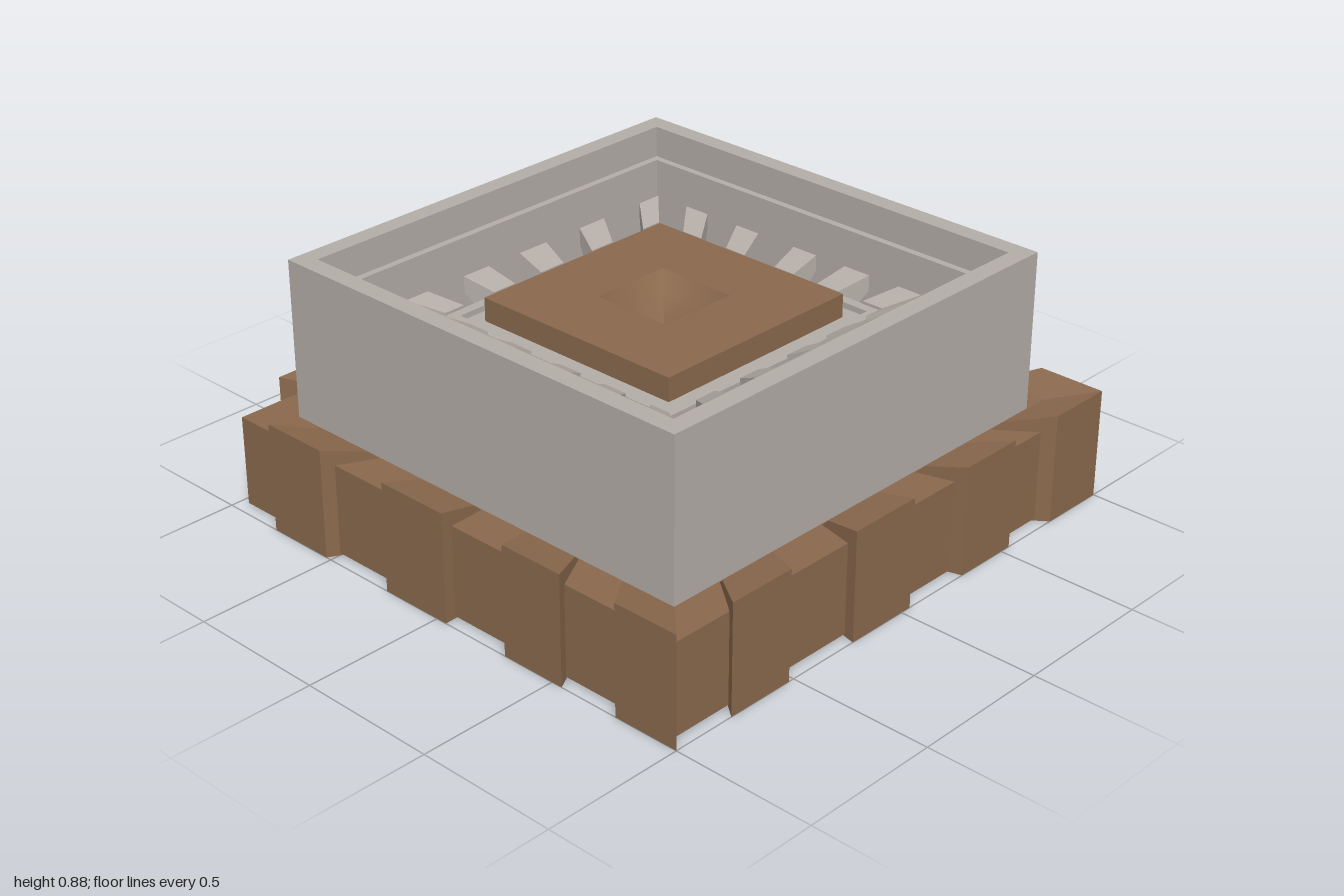
import * as THREE from 'three';

const brown = new THREE.MeshStandardMaterial({ color: 0x8a694d });
brown.name = 'brown wood';
const grey = new THREE.MeshStandardMaterial({ color: 0xb4ada7 });
grey.name = 'grey stone';

// Square solid of revolution: profile points are [half width, height]
function squareLathe(profile) {
  const pts = profile.map(([r, y]) => new THREE.Vector2(r * Math.SQRT2, y));
  const geo = new THREE.LatheGeometry(pts, 4).rotateY(Math.PI / 4).toNonIndexed();
  geo.computeVertexNormals();
  return geo;
}

// Block with a [r, y] section, whose width from u0 to u1 narrows toward the centre
function wedge(section, u0, u1) {
  const pos = [];
  const at = ([r, y], u) => [u * r, y, r];
  const tri = (a, b, c) => pos.push(...a, ...b, ...c);
  section.forEach((p, i) => {
    const q = section[(i + 1) % section.length];
    tri(at(p, u0), at(p, u1), at(q, u1));
    tri(at(p, u0), at(q, u1), at(q, u0));
    if (i > 0 && i < section.length - 1) {
      tri(at(section[0], u0), at(p, u0), at(q, u0));
      tri(at(section[0], u1), at(q, u1), at(p, u1));
    }
  });
  const geo = new THREE.BufferGeometry();
  geo.setAttribute('position', new THREE.Float32BufferAttribute(pos, 3));
  geo.computeVertexNormals();
  return geo;
}

export function createModel() {
  const model = new THREE.Group();
  const add = (name, geo, mat, parent = model) => {
    const mesh = new THREE.Mesh(geo, mat);
    mesh.name = name;
    parent.add(mesh);
  };

  // Rows of blocks on one side; sides run front, left, back, right
  const addRow = (name, side, section, spans, mat) => {
    const row = new THREE.Group();
    row.name = name + 'Row';
    row.rotation.y = side * Math.PI / 2;
    const flip = side === 1 || side === 2;
    for (const [a, b] of spans) {
      add(name, flip ? wedge(section, -b, -a) : wedge(section, a, b), mat, row);
    }
    model.add(row);
  };

  // Base ring, open underneath
  add('baseRing', squareLathe([
    [0.865, 0.008], [0.96, 0.008], [0.96, 0.325], [0.82, 0.325], [0.865, 0.3], [0.865, 0.008],
  ]), brown);

  // Raised blocks around the base
  const blockSection = [[1, 0], [1, 0.385], [0.865, 0.355], [0.835, 0.325], [0.865, 0]];
  const blockSpans = [[-0.77, -0.52], [-0.23, 0.04], [0.3, 0.54], [0.76, 1]];
  for (let side = 0; side < 4; side++) addRow('baseBlock', side, blockSection, blockSpans, brown);

  // Walls with inner ledge, sunken floor and a curb that also hangs below the floor
  add('stoneWalls', squareLathe([
    [0.4, 0.23], [0.49, 0.23], [0.49, 0.4], [0.79, 0.4], [0.79, 0.28], [0.83, 0.28],
    [0.83, 0.88], [0.765, 0.88], [0.765, 0.77], [0.74, 0.77], [0.74, 0.5], [0.49, 0.5],
    [0.49, 0.68], [0.455, 0.68], [0.455, 0.66], [0.4, 0.66],
  ]), grey);

  // Flared teeth outside the curb
  const toothSection = [[0.5, 0.57], [0.575, 0.68], [0.575, 0.735], [0.488, 0.69], [0.488, 0.57]];
  const toothSpans = [[-0.77, -0.6], [-0.37, -0.2], [0.07, 0.24], [0.45, 0.63], [0.84, 1]];
  const backSpans = [[-1, -0.84], [-0.57, -0.38], [-0.14, 0.07], [0.34, 0.54], [0.84, 1]];
  for (let side = 0; side < 4; side++) {
    addRow('curbTooth', side, toothSection, side === 2 ? backSpans : toothSpans, grey);
  }

  // Central slab on a hollow box, open underneath
  add('slabBox', squareLathe([
    [0, 0.62], [0.15, 0.72], [0.399, 0.72], [0.399, 0.23], [0.4, 0.23], [0.4, 0.742], [0.147, 0.742],
  ]), brown);

  // Smooth hollow in the slab
  const pit = new THREE.LatheGeometry(
    [[0.147, 0.742], [0.1, 0.69], [0, 0.64]].map(([r, y]) => new THREE.Vector2(r * Math.SQRT2, y)), 4,
  ).rotateY(Math.PI / 4);
  add('slabHollow', pit, brown);

  return model;
}
